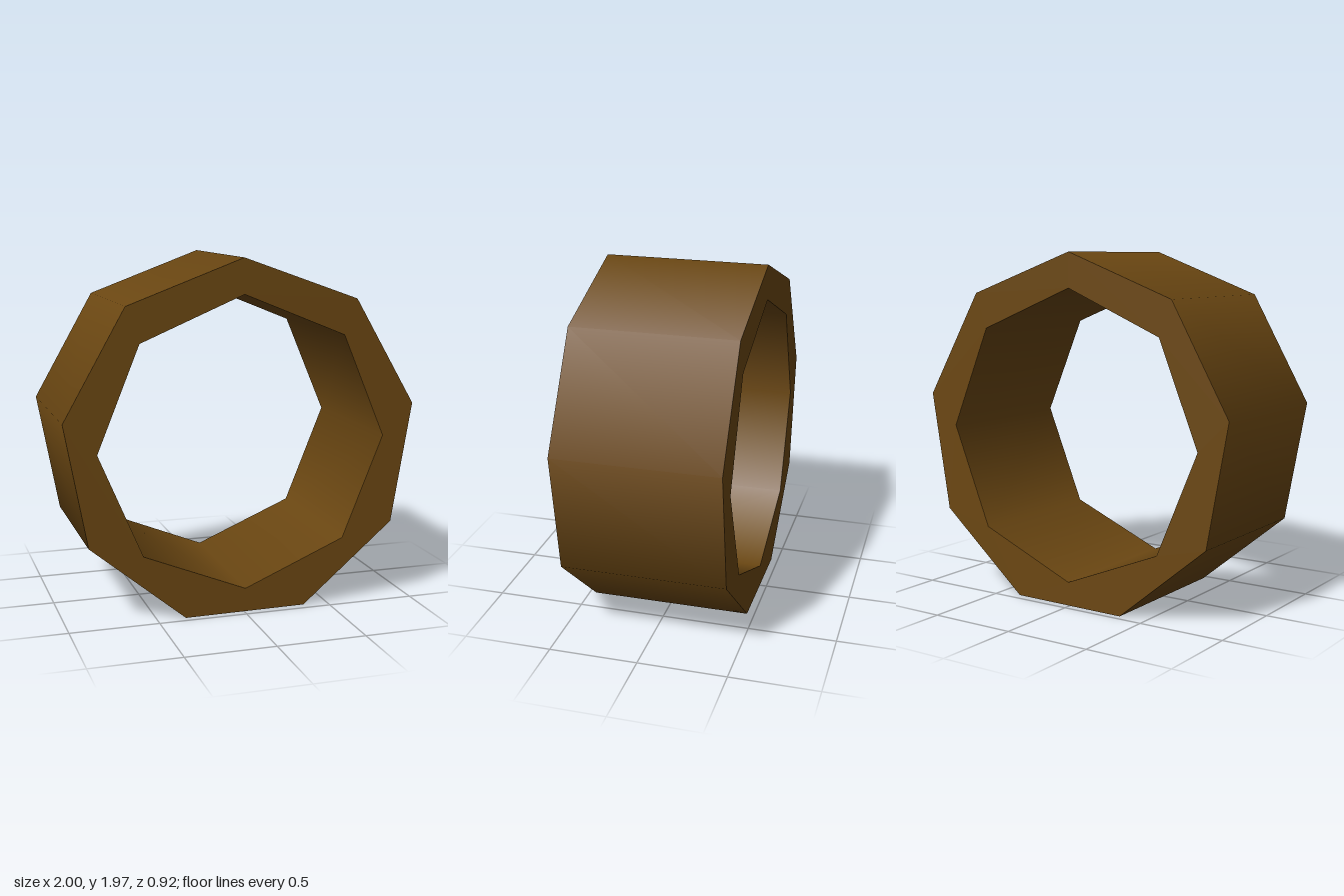
import * as THREE from 'three';

const DEPTH = 0.92, CENTER_Y = 0.957, TWIST = THREE.MathUtils.degToRad(0.4);
const OUTER = { radius: 1.015, sides: 9 };
const INNER = { radius: 0.82, sides: 8 };

// Open smooth-shaded prism wall along z, first corner at the top
function wall({ radius, sides }, inward) {
  const g = new THREE.CylinderGeometry(radius, radius, DEPTH, sides, 1, true);
  g.rotateX(-Math.PI / 2);
  g.rotateZ(TWIST);
  if (inward) {
    g.index.array.reverse();
    g.attributes.normal.array.forEach((v, i, a) => { a[i] = -v; });
  }
  return g;
}

// Corners of the same polygon, for the end faces
function corners({ radius, sides }) {
  return Array.from({ length: sides }, (_, i) => {
    const a = Math.PI / 2 + TWIST + (i * 2 * Math.PI) / sides;
    return new THREE.Vector2(radius * Math.cos(a), radius * Math.sin(a));
  });
}

export function createModel() {
  const ring = new THREE.Group();
  ring.name = 'ring';
  const material = new THREE.MeshStandardMaterial({ color: 0x6b4712 });
  const add = (name, geometry) => {
    const mesh = new THREE.Mesh(geometry, material);
    mesh.name = name;
    ring.add(mesh);
    return mesh;
  };

  // Nine-sided outside and eight-sided bore
  add('outerWall', wall(OUTER, false));
  add('innerWall', wall(INNER, true));

  // Flat end faces
  const shape = new THREE.Shape(corners(OUTER));
  shape.holes.push(new THREE.Path(corners(INNER)));
  add('frontFace', new THREE.ShapeGeometry(shape).translate(0, 0, DEPTH / 2));
  const back = new THREE.ShapeGeometry(shape).translate(0, 0, -DEPTH / 2);
  back.index.array.reverse();
  back.attributes.normal.array.forEach((v, i, a) => { a[i] = -v; });
  add('backFace', back);

  ring.position.y = CENTER_Y;
  const model = new THREE.Group();
  model.add(ring);
  return model;
}
